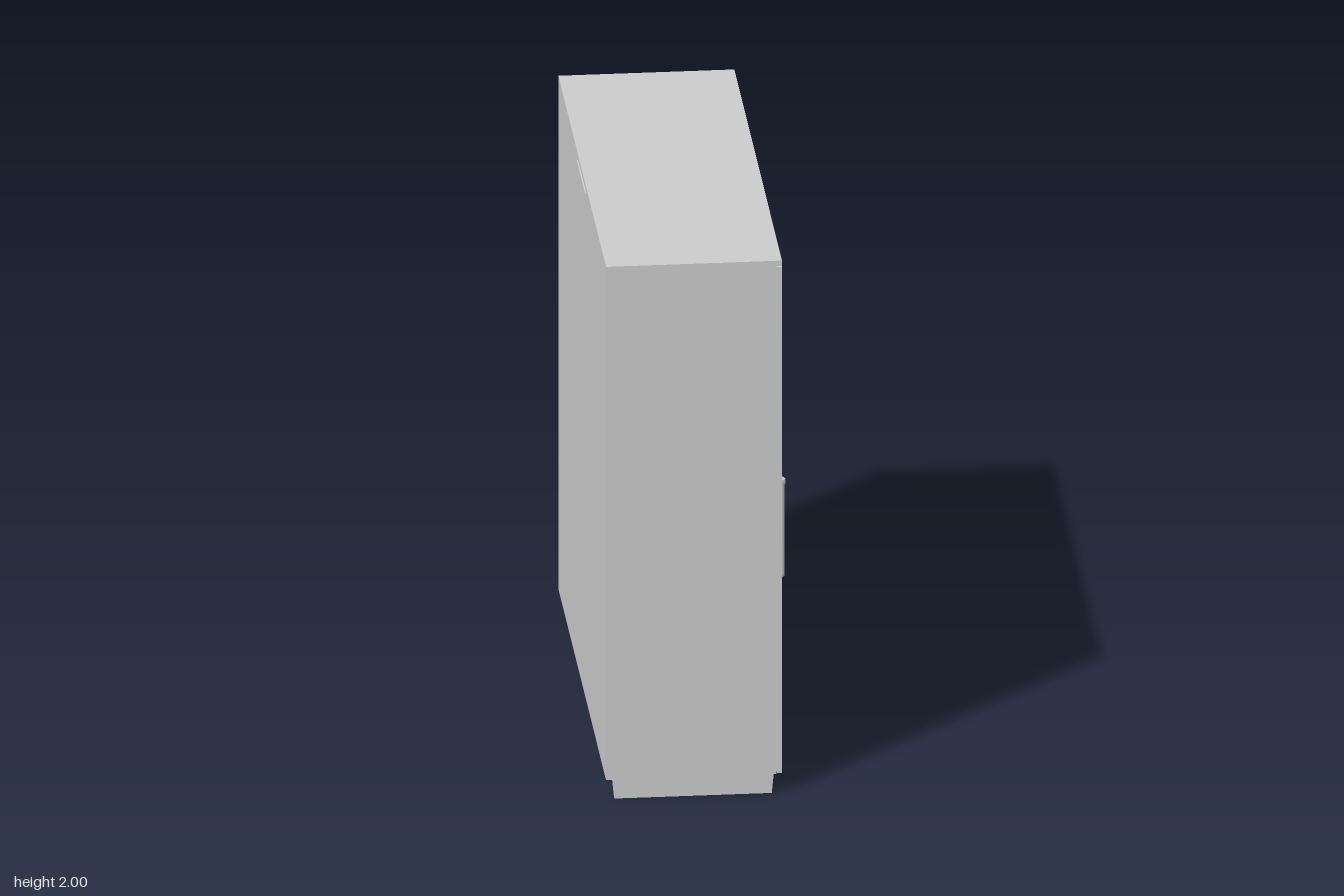
import * as THREE from 'three';

const grey = new THREE.MeshStandardMaterial({ color: 0xcccccc });

// Box given by its minimum and maximum on each axis
function block(parent, name, [x0, x1], [y0, y1], [z0, z1]) {
  const mesh = new THREE.Mesh(new THREE.BoxGeometry(x1 - x0, y1 - y0, z1 - z0), grey);
  mesh.position.set((x0 + x1) / 2, (y0 + y1) / 2, (z0 + z1) / 2);
  mesh.name = name;
  parent.add(mesh);
  return mesh;
}

// Upright bar of oval section with a wider cap and two mounts; doors face +x
function pullHandle(z) {
  const handle = new THREE.Group();
  handle.name = 'doorHandle';
  const profile = [[0, 0.665], [0.016, 0.665], [0.017, 0.675], [0.016, 1.005],
    [0.02, 1.015], [0.02, 1.028], [0.017, 1.032], [0, 1.032]];
  const bar = new THREE.Mesh(
    new THREE.LatheGeometry(profile.map(([r, y]) => new THREE.Vector2(r, y)), 20), grey);
  bar.name = 'handleBar';
  bar.scale.z = 0.92;
  bar.position.set(0.312, 0, z);
  handle.add(bar);
  for (const y of [0.72, 0.97]) {
    block(handle, 'handleMount', [0.28, 0.31], [y - 0.01, y + 0.01], [z - 0.008, z + 0.008]);
  }
  return handle;
}

export function createModel() {
  const wardrobe = new THREE.Group();
  wardrobe.name = 'wardrobe';
  const end = 0.882, split = -0.16, gap = 0.003;

  // Two carcasses side by side, each on a recessed plinth with end boards
  for (const [z0, z1] of [[-end, split - gap], [split + gap, end]]) {
    const unit = new THREE.Group();
    unit.name = 'cabinetUnit';
    block(unit, 'carcass', [-0.33, 0.266], [0.07, 1.98], [z0, z1]);
    block(unit, 'plinth', [-0.295, 0.238], [0.01, 0.07], [z0 + 0.018, z1 - 0.018]);
    for (const z of [z0, z1 - 0.018]) {
      // Plinth end board, slightly tapered towards the floor
      const board = block(unit, 'plinthEnd', [-0.308, 0.256], [0, 0.07], [z, z + 0.018]);
      const p = board.geometry.attributes.position;
      for (let i = 0; i < p.count; i++) if (p.getY(i) < 0) p.setX(i, p.getX(i) * 0.975);
      board.geometry.computeVertexNormals();
    }
    wardrobe.add(unit);
  }

  // Filler behind the joint between the units
  block(wardrobe, 'joint', [-0.322, 0.258], [0.07, 1.98], [split - gap, split + gap]);
  block(wardrobe, 'topPanel', [-0.33, 0.285], [1.98, 2], [-end, end]);

  // Five door panels, the middle one a little proud
  const edges = [-end, -0.515, split, 0.16, 0.515, end];
  for (let i = 0; i < 5; i++) {
    const face = i === 2 ? 0.289 : 0.285;
    block(wardrobe, 'doorPanel', [0.268, face], [0.073, i === 2 ? 1.97 : 1.975],
      [edges[i] + gap, edges[i + 1] - gap]);
  }

  // Small strip along the top of the back
  block(wardrobe, 'backStrip', [-0.335, -0.325], [1.965, 1.98], [-0.155, 0.155]);

  for (const z of [-0.515, 0.515]) wardrobe.add(pullHandle(z));
  return wardrobe;
}
